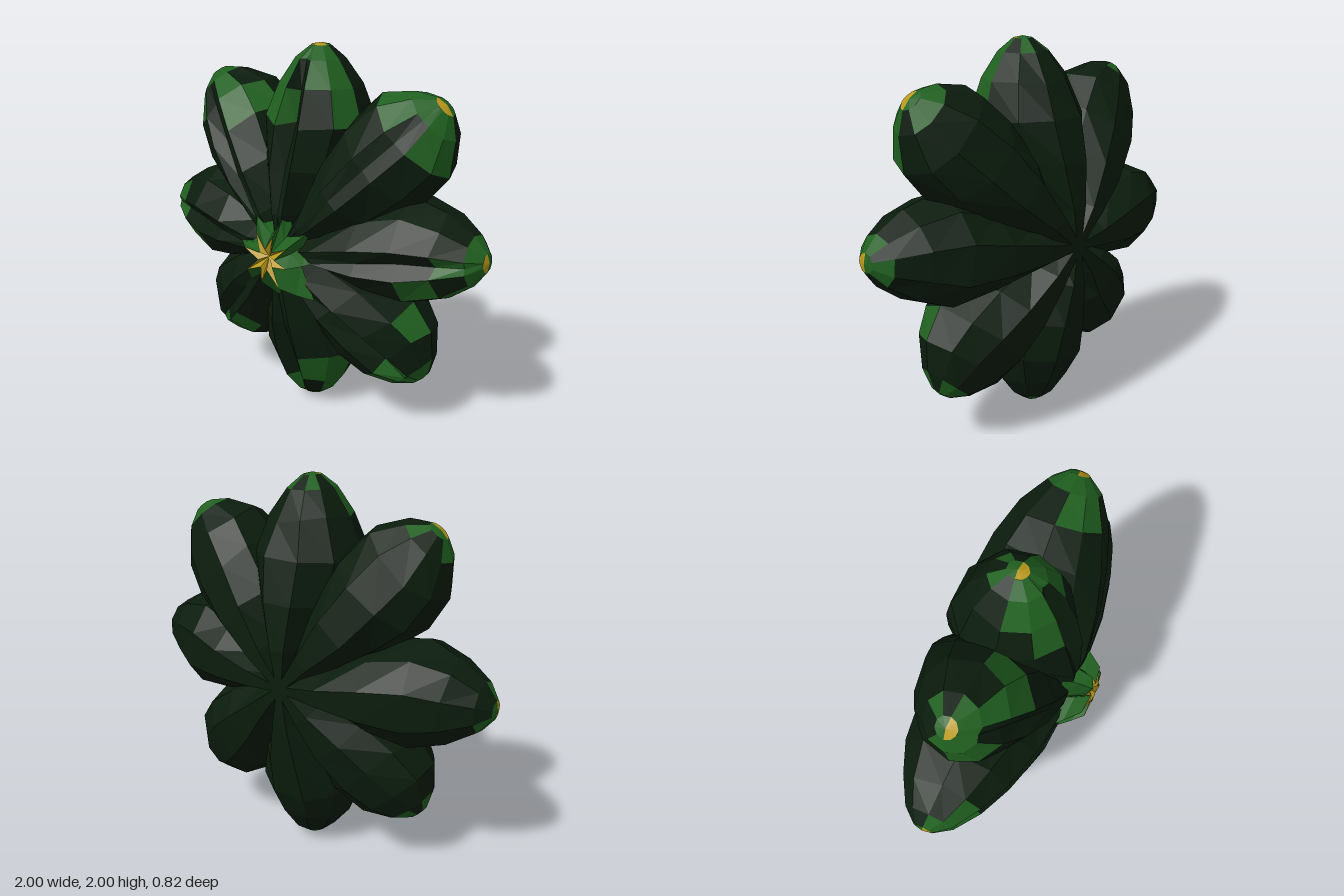
import * as THREE from 'three';

const material = (color) => new THREE.MeshStandardMaterial({ color, flatShading: true, side: THREE.DoubleSide });
const materials = { body: material(0x0b1c0d), accent: material(0x206020), tip: material(0xb8981c) };

// Small repeatable noise in 0..1
function noise(n) {
  const s = Math.sin(n * 127.1 + 11.7) * 43758.5453;
  return s - Math.floor(s);
}

// Joins point rings into a faceted skin, split into one mesh per colour
function loft(name, rings, apex, colourOf) {
  const faces = { body: [], accent: [], tip: [] };
  const add = (key, ...points) => points.forEach((p) => faces[key].push(p.x, p.y, p.z));
  const n = rings[0].length;
  for (let k = 0; k < rings.length; k++) {
    for (let i = 0; i < n; i++) {
      const j = (i + 1) % n;
      const a = rings[k][i], b = rings[k][j];
      const key = colourOf(k, i);
      if (k === rings.length - 1) {
        add(key, apex, b, a);
      } else {
        const c = rings[k + 1][i], d = rings[k + 1][j];
        add(key, a, c, d, a, d, b);
      }
    }
  }
  const group = new THREE.Group();
  group.name = name;
  for (const key of Object.keys(faces)) {
    if (!faces[key].length) continue;
    const geometry = new THREE.BufferGeometry();
    geometry.setAttribute('position', new THREE.Float32BufferAttribute(faces[key], 3));
    geometry.computeVertexNormals();
    const mesh = new THREE.Mesh(geometry, materials[key]);
    mesh.name = name + key[0].toUpperCase() + key.slice(1);
    group.add(mesh);
  }
  return group;
}

// Petal stations: distance from the middle, half width, front z, back z, pleat depth
const STATIONS = [
  [0.0, 0.04, 0.27, -0.415, 0],
  [0.2, 0.12, 0.295, -0.42, 0.02],
  [0.42, 0.225, 0.275, -0.395, 0.06],
  [0.63, 0.27, 0.225, -0.345, 0.09],
  [0.8, 0.225, 0.16, -0.27, 0.07],
  [0.93, 0.13, 0.08, -0.18, 0.02],
  [0.99, 0.05, 0.0, -0.1, 0],
];
// Corners around a petal, in degrees; 90 is the pleat along the front
const CORNERS = [5, 40, 75, 90, 105, 140, 175, 215, 250, 290, 325];

function makePetal(index, angle, length, blunt, tipZ, pleating) {
  const out = new THREE.Vector3(Math.cos(angle), Math.sin(angle), 0);
  const across = new THREE.Vector3(out.y, -out.x, 0);
  const rings = STATIONS.map(([r, w, front, back, pleat], k) => {
    const half = w * (k > 3 ? blunt : 1);
    const mid = (front + back) / 2 + (tipZ + 0.05) * r * r;
    const depth = (front - back) / 2;
    return CORNERS.map((degrees, i) => {
      const a = THREE.MathUtils.degToRad(degrees);
      const wobble = k > 1 && k < 5 ? (noise(index * 97 + k * 13 + i) - 0.5) * 0.03 : 0;
      const p = out.clone().multiplyScalar(r * length + wobble);
      p.addScaledVector(across, half * Math.cos(a) + wobble * 0.4);
      p.z = mid + depth * Math.sin(a) * 1.03 - (degrees === 90 ? pleat * pleating : 0);
      p.y += 1;
      return p;
    });
  });
  const apex = out.clone().multiplyScalar(length);
  apex.y += 1;
  apex.z = tipZ;
  const colourOf = (k, i) => {
    const facesFront = i < 6;
    const chance = noise(index * 31 + k * 7 + i * 3);
    if (k === 6) return facesFront ? 'tip' : 'accent';
    if (k === 5) return facesFront || chance > 0.5 ? 'accent' : 'body';
    if (k === 4 && facesFront) return chance > 0.4 ? 'accent' : 'body';
    if (k === 3 && facesFront) return chance > 0.8 ? 'accent' : 'body';
    return 'body';
  };
  return loft('petal', rings, apex, colourOf);
}

// Star-shaped heart: green points narrowing to a small yellow cup, tipped slightly down
function makeHeart() {
  const points = 8;
  const levels = [[0.25, 0.13, 0.25], [0.19, 0.1, 0.32], [0.13, 0.05, 0.39]];
  const rings = levels.map(([outer, inner, z], k) => {
    const ring = [];
    for (let i = 0; i < points * 2; i++) {
      const a = -((i + k * 0.25) / (points * 2)) * Math.PI * 2;
      const r = i % 2 ? inner : outer * (0.8 + 0.45 * noise(i + 5));
      const y = r * Math.sin(a);
      ring.push(new THREE.Vector3(0.02 + r * Math.cos(a), 1 + y, z + (i % 2 ? 0.01 : 0) - 0.15 * y));
    }
    return ring;
  });
  return loft('heart', rings, new THREE.Vector3(0.02, 1.01, 0.37), (k) => (k === 2 ? 'tip' : 'accent'));
}

export function createModel() {
  const model = new THREE.Group();
  model.name = 'flower';
  // Angle in degrees, length, how blunt the outer end is, z of the tip, strength of the pleat
  const petals = [
    [5, 1.0, 0.95, -0.02, 0.8], [47, 1.06, 1.15, -0.04, 0.3], [88, 1.0, 0.9, -0.04, 1], [129, 1.03, 1.1, -0.05, 0.6],
    [179, 1.0, 0.95, -0.09, 0.8], [227, 0.93, 1.1, -0.06, 0.6], [270, 1.0, 0.9, -0.07, 0.8], [314, 0.955, 1.1, -0.09, 1.1],
  ];
  petals.forEach(([degrees, length, blunt, tipZ, pleating], i) => {
    model.add(makePetal(i, THREE.MathUtils.degToRad(degrees), length, blunt, tipZ, pleating));
  });
  model.add(makeHeart());
  return model;
}
